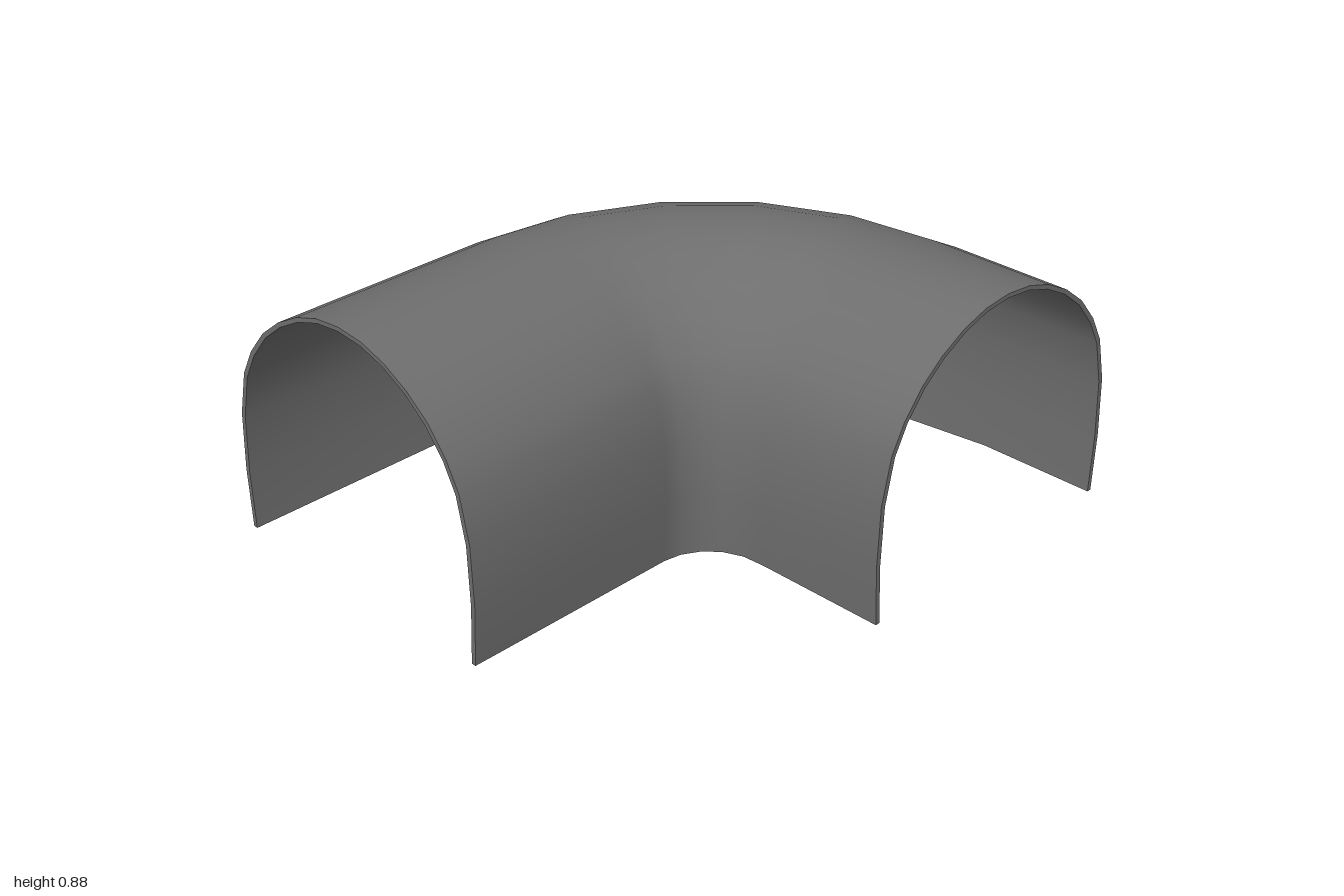
import * as THREE from 'three';

// Half of the arch section: [offset from the centre line, height]
const outerHalf = [[0.52, 0], [0.53, 0.2], [0.522, 0.4], [0.488, 0.55], [0.44, 0.64],
  [0.37, 0.725], [0.288, 0.79], [0.195, 0.84], [0.1, 0.87]];
const innerHalf = outerHalf.map(([u, y]) => [u * 0.97, y * 0.984]);
const mirrorArch = (half, top) =>
  [...half, [0, top], ...half.slice().reverse().map(([u, y]) => [-u, y])];

// Plan of the bend: [outer wall x, z, inner wall x, z] at each station
const stations = [
  [-1, -0.86, -1, 0.2],
  [-0.25, -0.86, -0.25, 0.2],
  [0.11, -0.81, -0.195, 0.21],
  [0.47, -0.63, -0.14, 0.24],
  [0.77, -0.33, -0.1, 0.285],
  [0.945, 0.04, -0.075, 0.345],
  [1, 0.45, -0.07, 0.42],
  [1, 0.86, -0.07, 0.86],
];

// Places section points across one station
function placeSection(points, [ox, oz, ix, iz]) {
  return points.map(([u, y]) => {
    const t = 0.5 - u / 1.06;
    return new THREE.Vector3(ox + (ix - ox) * t, y, oz + (iz - oz) * t);
  });
}

// Skins rows of points as one smooth surface
function skin(rows) {
  const n = rows[0].length;
  const index = [];
  for (let i = 0; i < rows.length - 1; i++) {
    for (let j = 0; j < n - 1; j++) {
      const a = i * n + j, b = a + n;
      index.push(a, a + 1, b, a + 1, b + 1, b);
    }
  }
  const geometry = new THREE.BufferGeometry().setFromPoints(rows.flat());
  geometry.setIndex(index);
  geometry.computeVertexNormals();
  return geometry;
}

export function createModel() {
  const group = new THREE.Group();
  group.name = 'tunnelBend';
  const material = new THREE.MeshStandardMaterial({ color: 0x6e6e6e, side: THREE.DoubleSide });
  const add = (name, rows) => {
    const mesh = new THREE.Mesh(skin(rows), material);
    mesh.name = name;
    group.add(mesh);
  };

  const outer = stations.map((s) => placeSection(mirrorArch(outerHalf, 0.88), s));
  const inner = stations.map((s) => placeSection(mirrorArch(innerHalf, 0.866), s));
  const last = stations.length - 1;
  const end = outer[0].length - 1;

  // Shell surfaces
  add('outerShell', outer);
  add('innerShell', inner.map((row) => row.slice().reverse()));

  // Bottom edges of both walls
  add('innerWallFoot', outer.map((row, i) => [row[end], inner[i][end]]));
  add('outerWallFoot', outer.map((row, i) => [inner[i][0], row[0]]));

  // Rims around the two openings
  add('sideOpeningRim', [inner[0], outer[0]]);
  add('frontOpeningRim', [outer[last], inner[last]]);
  return group;
}
